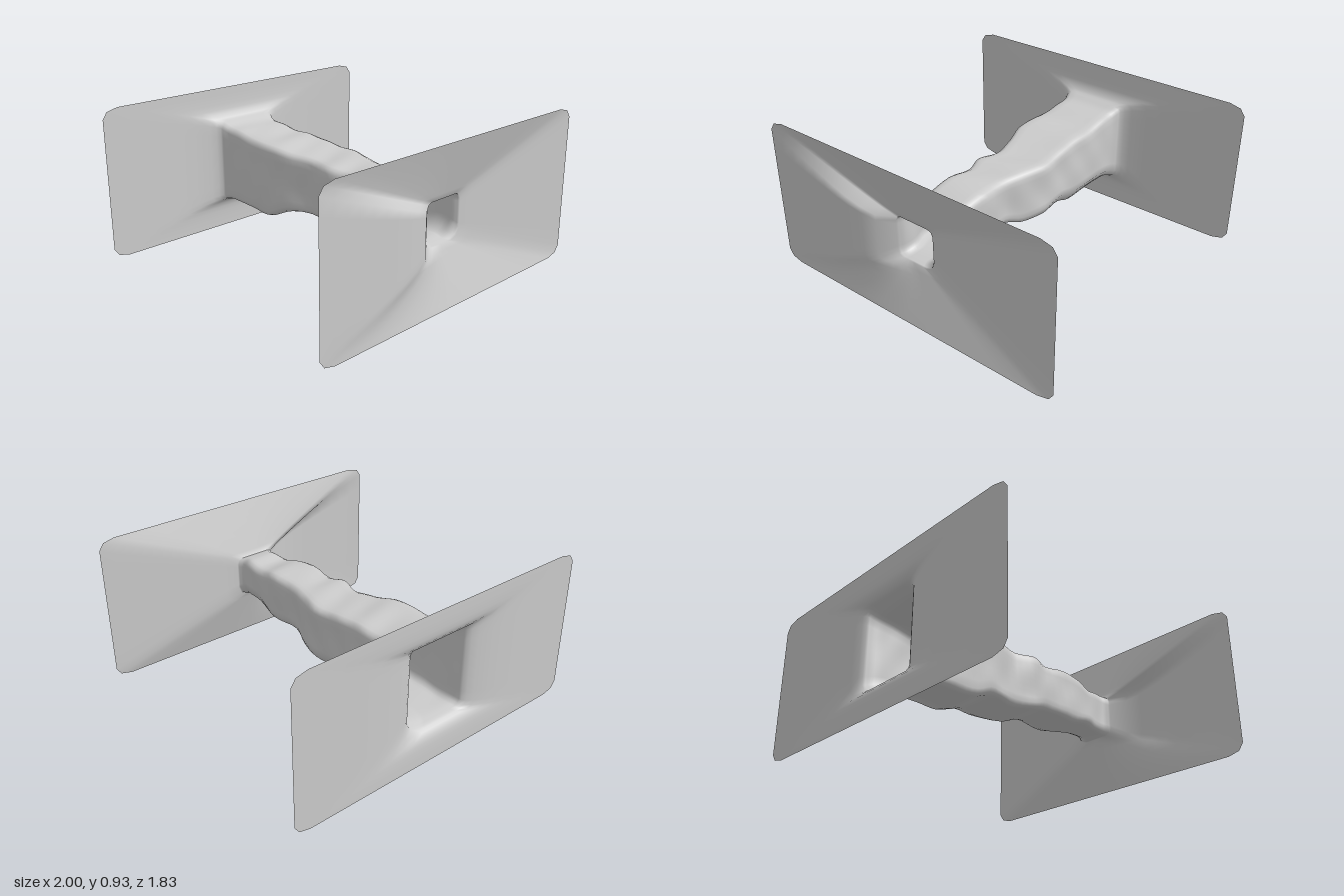
import * as THREE from 'three';

const SIDE = 8;   // segments along each side of a section
const CORNER = 2; // segments around each corner

// Rounded rectangle section, with its own radii for the lower right corner
function ring(z, x0, x1, y0, y1, rx, ry, cx = 0.035, cy = 0.035) {
  const corners = [
    [x1 - cx, y1 - cy, cx, cy, 0],
    [x0 + cx, y1 - cy, cx, cy, 1],
    [x0 + cx, y0 + cy, cx, cy, 2],
    [x1 - rx, y0 + ry, rx, ry, 3],
  ];
  const arcs = corners.map(([px, py, ax, ay, q]) =>
    Array.from({ length: CORNER + 1 }, (_, i) => {
      const a = (q + i / CORNER) * Math.PI / 2;
      return new THREE.Vector3(px + ax * Math.cos(a), py + ay * Math.sin(a), z);
    }));
  const points = [];
  arcs.forEach((arc, q) => {
    points.push(...arc);
    const next = arcs[(q + 1) % 4][0];
    for (let i = 1; i < SIDE; i++) points.push(arc[CORNER].clone().lerp(next, i / SIDE));
  });
  return points;
}

// Tunnel sections: z, left, right, bottom, top, lower right corner radii
const SECTIONS = [
  [0.80, -0.14, 0.13, 0.33, 0.59, 0.06, 0.06],
  [0.76, -0.115, 0.11, 0.34, 0.60, 0.06, 0.07],
  [0.70, -0.11, 0.12, 0.35, 0.605, 0.06, 0.07],
  [0.60, -0.14, 0.12, 0.345, 0.59, 0.06, 0.07],
  [0.42, -0.165, 0.14, 0.315, 0.63, 0.06, 0.05],
  [0.20, -0.16, 0.13, 0.325, 0.62, 0.05, 0.05],
  [0.08, -0.18, 0.165, 0.29, 0.63, 0.05, 0.05],
  [-0.08, -0.145, 0.20, 0.28, 0.63, 0.06, 0.06],
  [-0.25, -0.19, 0.19, 0.27, 0.645, 0.10, 0.07],
  [-0.40, -0.22, 0.19, 0.21, 0.665, 0.15, 0.10],
  [-0.55, -0.21, 0.19, 0.21, 0.665, 0.16, 0.10],
  [-0.70, -0.20, 0.185, 0.21, 0.685, 0.15, 0.09],
  [-0.80, -0.20, 0.185, 0.21, 0.695, 0.13, 0.07],
  [-0.86, -0.215, 0.205, 0.20, 0.72, 0.10, 0.06],
];

export function createModel() {
  const keys = SECTIONS.map((s) => ring(...s));
  const count = keys[0].length;
  const curves = keys[0].map((_, j) => new THREE.CatmullRomCurve3(keys.map((k) => k[j])));
  const outer = ring(0, -1, 1, 0, 0.93, 0.1, 0.06, 0.1, 0.06);
  const rings = [];

  // Front funnel: straight cone, bellied forward on the model's right
  const FRONT = 10;
  for (let i = 0; i < FRONT; i++) {
    const t = 1 - i / FRONT;
    rings.push(keys[0].map((p, j) => {
      const v = p.clone().lerp(outer[j], t);
      const side = Math.max(0, -(p.x + 0.02) / 0.12) * (p.y < 0.56 ? 1 : 0.15);
      v.z = 0.8 + 0.103 * t + side * 0.075 * Math.sin(Math.PI * Math.pow(t, 0.55));
      v.z = Math.min(v.z, 0.91);
      return v;
    }));
  }
  const tunnelStart = rings.length;

  // Tunnel: smooth loft with gentle unevenness
  const STEPS = 52;
  for (let i = 0; i <= STEPS; i++) {
    const u = i / STEPS;
    const fade = Math.sin(Math.PI * u);
    rings.push(curves.map((c) => {
      const p = c.getPoint(u);
      const bump = 0.006 * fade * Math.sin(17 * p.z + 13 * p.x) * Math.cos(11 * p.z - 19 * p.y);
      p.x += bump * Math.sign(p.x);
      p.y += bump;
      return p;
    }));
  }
  const tunnelEnd = rings.length - 1;

  // Back flare: tight bend opening into a flat plate
  const last = keys[keys.length - 1];
  for (const [t, z] of [[0.03, -0.875], [0.08, -0.89], [0.2, -0.908], [0.33, -0.914], [0.48, -0.918], [0.75, -0.92], [1, -0.92]]) {
    rings.push(last.map((p, j) => {
      const v = p.clone().lerp(outer[j], t);
      v.z = z;
      return v;
    }));
  }

  // Shared vertices keep shading continuous between the parts
  const position = new THREE.Float32BufferAttribute(rings.flat().flatMap((p) => [p.x, p.y, p.z]), 3);
  const strip = (from, to) => {
    const index = [];
    for (let i = from; i < to; i++) {
      for (let j = 0; j < count; j++) {
        const k = (j + 1) % count;
        const a = i * count + j, b = i * count + k, c = a + count, d = b + count;
        index.push(a, c, b, b, c, d);
      }
    }
    return index;
  };
  const whole = new THREE.BufferGeometry();
  whole.setAttribute('position', position);
  whole.setIndex(strip(0, rings.length - 1));
  whole.computeVertexNormals();

  const material = new THREE.MeshStandardMaterial({ color: 0xcccccc, side: THREE.DoubleSide });
  const group = new THREE.Group();
  const parts = [
    ['frontFunnel', 0, tunnelStart],
    ['tunnel', tunnelStart, tunnelEnd],
    ['backFlare', tunnelEnd, rings.length - 1],
  ];
  for (const [name, from, to] of parts) {
    const geometry = new THREE.BufferGeometry();
    geometry.setAttribute('position', position);
    geometry.setAttribute('normal', whole.getAttribute('normal'));
    geometry.setIndex(strip(from, to));
    const mesh = new THREE.Mesh(geometry, material);
    mesh.name = name;
    group.add(mesh);
  }
  return group;
}
